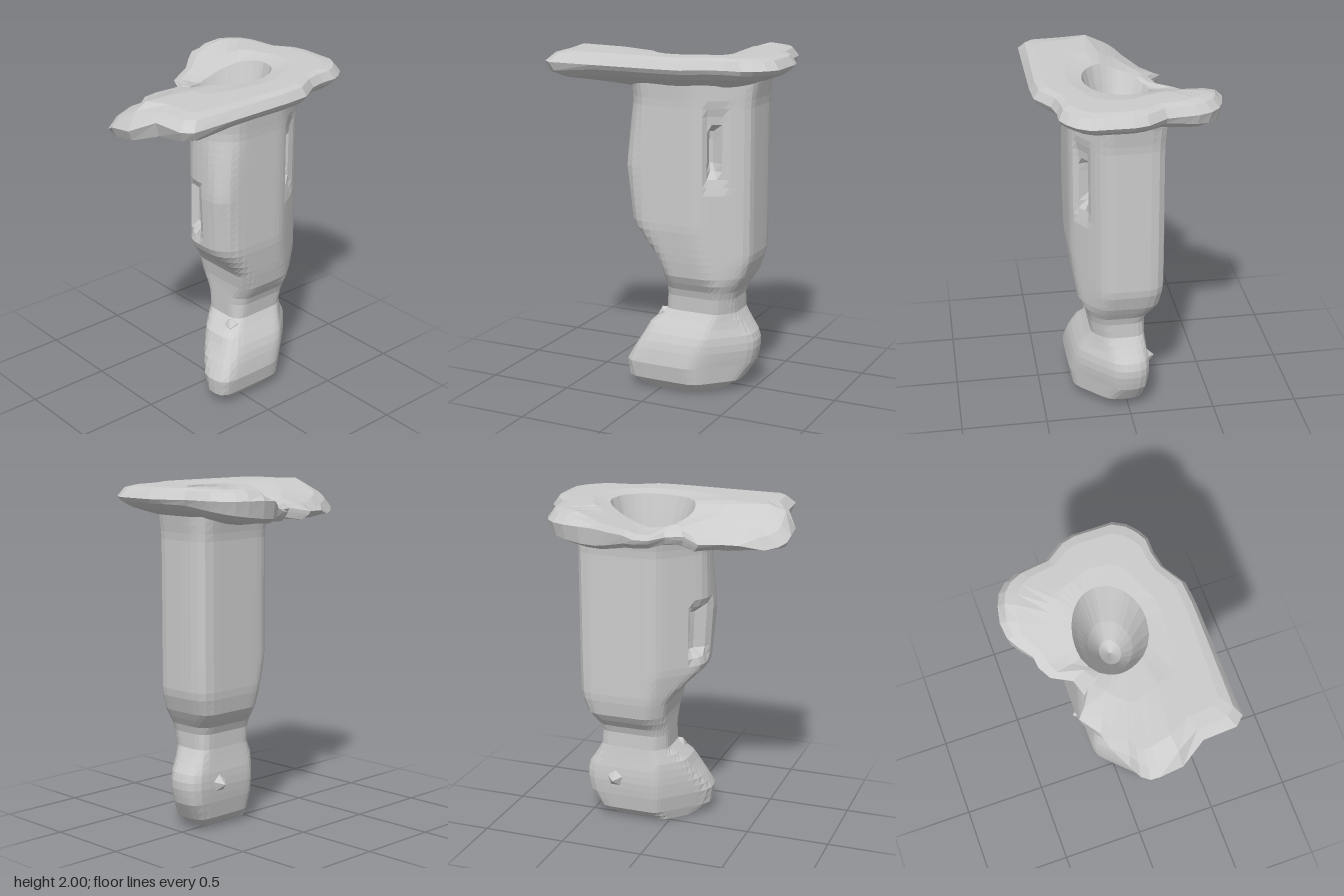
import * as THREE from 'three';

const material = new THREE.MeshStandardMaterial({ color: 0xcccccc, flatShading: true, side: THREE.DoubleSide });
const { clamp, lerp } = THREE.MathUtils;

// Skin a list of closed rings (arrays of [x, y, z]) running from the bottom up the outside.
function loft(name, rings) {
  const n = rings[0].length, index = [];
  for (let i = 0; i < rings.length - 1; i++) {
    for (let j = 0; j < n; j++) {
      const a = i * n + j, b = i * n + (j + 1) % n;
      index.push(a, a + n, b, b, a + n, b + n);
    }
  }
  const geometry = new THREE.BufferGeometry();
  geometry.setAttribute('position', new THREE.Float32BufferAttribute(rings.flat(2), 3));
  geometry.setIndex(index);
  geometry.computeVertexNormals();
  const mesh = new THREE.Mesh(geometry, material);
  mesh.name = name;
  return mesh;
}

// Column sections: y, then low and high limits of x, z, x+z and x-z (a skewed octagon per level).
const SECTIONS = [
  [0.005, -0.12, 0.34, -0.02, 0.25, 0.00, 0.46, -0.36, 0.36],
  [0.07, -0.20, 0.44, -0.09, 0.31, -0.03, 0.55, -0.49, 0.49],
  [0.17, -0.21, 0.50, -0.11, 0.33, -0.06, 0.57, -0.51, 0.57],
  [0.25, -0.17, 0.52, -0.12, 0.32, -0.07, 0.59, -0.45, 0.59],
  [0.33, -0.12, 0.52, -0.12, 0.30, -0.07, 0.59, -0.38, 0.59],
  [0.40, -0.09, 0.47, -0.11, 0.26, -0.06, 0.56, -0.31, 0.54],
  [0.48, 0.00, 0.42, -0.10, 0.21, -0.03, 0.54, -0.17, 0.49],
  [0.60, 0.00, 0.42, -0.10, 0.22, -0.04, 0.57, -0.16, 0.48],
  [0.70, 0.00, 0.48, -0.18, 0.28, -0.10, 0.64, -0.22, 0.61],
  [0.82, -0.02, 0.52, -0.20, 0.30, -0.14, 0.68, -0.29, 0.67],
  [1.00, -0.20, 0.52, -0.20, 0.32, -0.18, 0.68, -0.43, 0.68],
  [1.35, -0.22, 0.52, -0.20, 0.32, -0.18, 0.68, -0.49, 0.68],
  [1.72, -0.21, 0.52, -0.20, 0.32, -0.18, 0.68, -0.41, 0.68],
  [1.84, -0.22, 0.54, -0.22, 0.33, -0.21, 0.70, -0.43, 0.69],
];
// Outward directions matching the limits above.
const NORMALS = [[-1, 0], [1, 0], [0, -1], [0, 1], [-1, -1], [1, 1], [-1, 1], [1, -1]];
// Slanted front facet that carries the slot: normal x, z and reach.
const FACET = [0.6, 1, 0.472];
// Recesses in the column wall: angle, y, half angle, half height, depth.
const POCKETS = [
  [0.83, 1.47, 0.28, 0.26, 0.02],
  [0.83, 1.46, 0.14, 0.15, 0.06],
  [3.21, 1.23, 0.2, 0.17, 0.08],
];

function sectionAt(y) {
  let k = 0;
  while (k < SECTIONS.length - 2 && SECTIONS[k + 1][0] < y) k++;
  const [a, b] = [SECTIONS[k], SECTIONS[k + 1]];
  const t = clamp((y - a[0]) / (b[0] - a[0]), 0, 1);
  return a.map((v, i) => lerp(v, b[i], t));
}

function buildColumn() {
  const cx = 0.17, cz = 0.06, sides = 56, sharpness = 20;
  const heights = [0.005, 0.035, 0.07, 0.12];
  for (let y = 0.17; y < 1.83; y += 0.045) heights.push(y);
  heights.push(1.84);
  const rings = [Array.from({ length: sides }, () => [cx, 0, cz])];
  for (const y of heights) {
    const limits = sectionAt(y).slice(1);
    const walls = NORMALS.map(([nx, nz], i) => [nx, nz, limits[i] * (i % 2 ? 1 : -1)]);
    walls.push(FACET);
    rings.push(Array.from({ length: sides }, (_, j) => {
      const angle = j / sides * Math.PI * 2, dx = Math.cos(angle), dz = Math.sin(angle);
      // nearest wall along this ray, with the corners between walls eased
      let sum = 0;
      for (const [nx, nz, reach] of walls) {
        const slope = nx * dx + nz * dz;
        if (slope > 0) sum += (slope / (reach - nx * cx - nz * cz)) ** sharpness;
      }
      let r = sum ** (-1 / sharpness);
      for (const [pa, py, wa, hy, depth] of POCKETS) {
        const d = Math.max(Math.abs(angle - pa) / wa, Math.abs(y - py) / hy);
        if (d < 1) r -= depth * Math.min(1, (1 - d) * 3);
      }
      return [cx + dx * r, y, cz + dz * r];
    }));
  }
  return loft('columnAndFoot', rings);
}

// Plan outline of the top slab, x and z, from the right tip round the back.
const OUTLINE = [
  [-0.72, 0], [-0.71, -0.05], [-0.67, -0.09], [-0.6, -0.12], [-0.47, -0.19], [-0.38, -0.21],
  [-0.27, -0.29], [-0.16, -0.22], [-0.06, -0.25], [0, -0.36], [0.07, -0.4], [0.13, -0.41],
  [0.2, -0.47], [0.26, -0.51], [0.35, -0.52], [0.45, -0.5], [0.52, -0.47], [0.57, -0.42],
  [0.6, -0.35], [0.61, -0.27], [0.62, -0.17], [0.7, -0.06], [0.72, 0.02], [0.72, 0.25],
  [0.68, 0.32], [0.62, 0.37], [0.56, 0.4], [0.47, 0.4], [0.37, 0.42], [0.24, 0.5], [0.1, 0.51],
  [-0.1, 0.51], [-0.3, 0.51], [-0.57, 0.51], [-0.62, 0.46], [-0.63, 0.27], [-0.71, 0.13],
];

function buildSlab() {
  const hx = 0.11, hz = 0.02;     // middle of the hole
  const fx = 0.17, fz = 0.04;     // deepest point inside it
  // t runs from the hole edge (0) to the outline (1); negative t shrinks into the hole.
  const ring = (t, height) => OUTLINE.map(([ox, oz]) => {
    const angle = Math.atan2(oz - hz, ox - hx);
    const px = hx + 0.25 * Math.cos(angle), pz = hz + 0.2 * Math.sin(angle);
    const x = t < 0 ? lerp(px, fx, -t) : lerp(px, ox, t);
    const z = t < 0 ? lerp(pz, fz, -t) : lerp(pz, oz, t);
    return [x, height(x, z), z];
  });
  // the top dips between the side arm and the back lobe, most of all along the arm
  const top = (x, z) => 2 - (0.13 + 0.05 * clamp(-x * 4 - 0.8, 0, 1))
    * clamp((0.1 - z) * 3, 0, 1) * clamp((0.38 - x) * 3, 0, 1);
  // the underside hangs lower toward the back and the right tip
  const sag = (x, z) => 0.1 * clamp(0.4 - z * 1.3 - x * 0.9, 0, 1);
  const tip = (x, z) => (x < -0.55 && z < 0.25 ? 1 : 0);
  return loft('topSlab', [
    ring(0.1, () => 1.78),
    ring(0.4, (x, z) => 1.83 - 0.5 * sag(x, z)),
    ring(0.8, (x, z) => 1.88 - sag(x, z)),
    ring(0.95, (x, z) => 1.915 - sag(x, z) - 0.02 * tip(x, z)),
    ring(1, (x, z) => Math.min(1.94, top(x, z) - 0.02) - 0.07 * tip(x, z)),
    ring(0.9, (x, z) => top(x, z) - 0.012 - 0.02 * tip(x, z)),
    ring(0.75, top),
    ring(0.3, top),
    ring(0, (x, z) => top(x, z) - 0.015),
    ring(-0.15, (x, z) => top(x, z) - 0.12),
    ring(-0.4, () => 1.68),
    ring(-0.7, () => 1.54),
    ring(-1, () => 1.48),
  ]);
}

export function createModel() {
  const group = new THREE.Group();
  group.add(buildColumn(), buildSlab());

  // small pointed nub on the back of the foot
  const nub = new THREE.Mesh(new THREE.ConeGeometry(0.09, 0.09, 5), material);
  nub.name = 'footNub';
  nub.rotation.x = -Math.PI / 2;
  nub.position.set(0.31, 0.28, -0.125);
  group.add(nub);

  // knob on the front of the ankle
  const knob = new THREE.Mesh(new THREE.IcosahedronGeometry(0.05, 0), material);
  knob.name = 'ankleKnob';
  knob.position.set(0.0, 0.44, 0.17);
  group.add(knob);
  return group;
}
